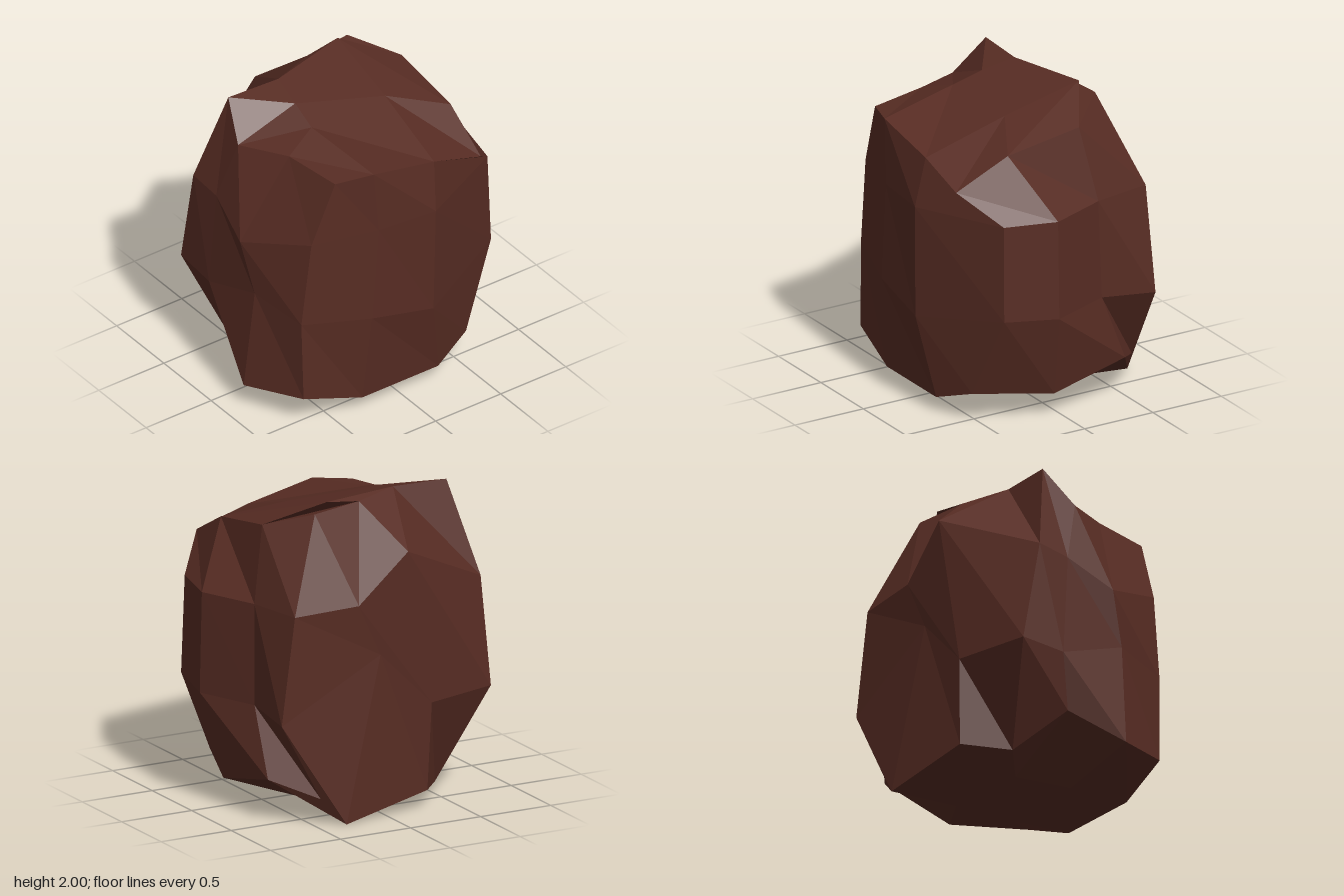
import * as THREE from 'three';

// Cross-sections, bottom to top. Each has 12 points: four along the front (from -x to +x),
// two up the +x side, four along the back (from +x to -x), two down the -x side.
const RINGS = [
  [[-0.71, 0.22, 0.58], [-0.30, 0.10, 0.64], [0.28, 0.10, 0.64], [0.56, 0.20, 0.55],
   [0.74, 0.16, 0.06], [0.72, 0.28, -0.47],
   [0.46, 0.17, -0.68], [0.31, 0.00, -0.74], [-0.30, 0.12, -0.68], [-0.50, 0.08, -0.42],
   [-0.75, 0.33, -0.18], [-0.88, 0.17, 0.18]],
  [[-0.72, 0.78, 0.57], [-0.27, 0.72, 0.70], [0.18, 0.63, 0.73], [0.81, 0.75, 0.47],
   [0.88, 0.72, 0.11], [0.72, 0.72, -0.30],
   [0.74, 0.68, -0.68], [0.04, 1.05, -0.69], [-0.32, 0.69, -0.70], [-0.81, 0.70, -0.58],
   [-0.82, 0.68, -0.27], [-0.81, 0.85, 0.20]],
  [[-0.65, 1.36, 0.58], [-0.22, 1.37, 0.70], [0.19, 1.37, 0.74], [0.79, 1.38, 0.46],
   [0.865, 1.37, 0.11], [0.71, 1.37, -0.28],
   [0.64, 1.37, -0.67], [0.20, 1.39, -0.70], [-0.14, 1.70, -0.72], [-0.81, 1.38, -0.45],
   [-0.80, 1.35, -0.22], [-0.85, 1.20, 0.10]],
  [[-0.49, 1.78, 0.61], [-0.25, 1.80, 0.69], [0.22, 1.70, 0.68], [0.58, 1.59, 0.68],
   [0.61, 1.77, 0.32], [0.61, 1.85, -0.20],
   [0.38, 1.95, -0.46], [0.03, 1.97, -0.40], [-0.28, 1.99, -0.28], [-0.65, 1.99, -0.30],
   [-0.72, 1.77, -0.10], [-0.56, 1.80, 0.22]],
];

// Inner points of the caps: front pair, then back pair
const TOP = [[-0.33, 1.88, 0.14], [0.25, 1.87, 0.12], [-0.31, 1.94, -0.06], [0.27, 2.00, -0.41]];
const BOTTOM = [[-0.30, 0.07, 0.20], [0.28, 0.06, 0.20], [-0.25, 0.05, -0.20], [0.28, 0.03, -0.25]];

// Arrange a ring and its inner points as a 4 x 4 grid, front row first
function capGrid(r, inner) {
  return [
    [r[0], r[1], r[2], r[3]],
    [r[11], inner[0], inner[1], r[4]],
    [r[10], inner[2], inner[3], r[5]],
    [r[9], r[8], r[7], r[6]],
  ];
}

function boulderGeometry() {
  const positions = [];
  // Split along b-d
  const quad = (a, b, c, d) => positions.push(...a, ...b, ...d, ...b, ...c, ...d);

  // Sides
  for (let i = 0; i < RINGS.length - 1; i++) {
    for (let j = 0; j < 12; j++) {
      const k = (j + 1) % 12;
      quad(RINGS[i][j], RINGS[i][k], RINGS[i + 1][k], RINGS[i + 1][j]);
    }
  }

  // Top and underside
  const top = capGrid(RINGS[3], TOP);
  const under = capGrid(RINGS[0], BOTTOM);
  for (let r = 0; r < 3; r++) {
    for (let c = 0; c < 3; c++) {
      quad(top[r][c], top[r][c + 1], top[r + 1][c + 1], top[r + 1][c]);
      quad(under[r][c], under[r + 1][c], under[r + 1][c + 1], under[r][c + 1]);
    }
  }

  // Unshared corners give each facet its own flat normal
  const geometry = new THREE.BufferGeometry();
  geometry.setAttribute('position', new THREE.Float32BufferAttribute(positions, 3));
  geometry.computeVertexNormals();
  return geometry;
}

export function createModel() {
  const brown = new THREE.MeshStandardMaterial({ color: 0x572c23 });
  brown.name = 'dark brown stone';

  const boulder = new THREE.Mesh(boulderGeometry(), brown);
  boulder.name = 'boulder';

  const model = new THREE.Group();
  model.name = 'rock';
  model.add(boulder);
  return model;
}
